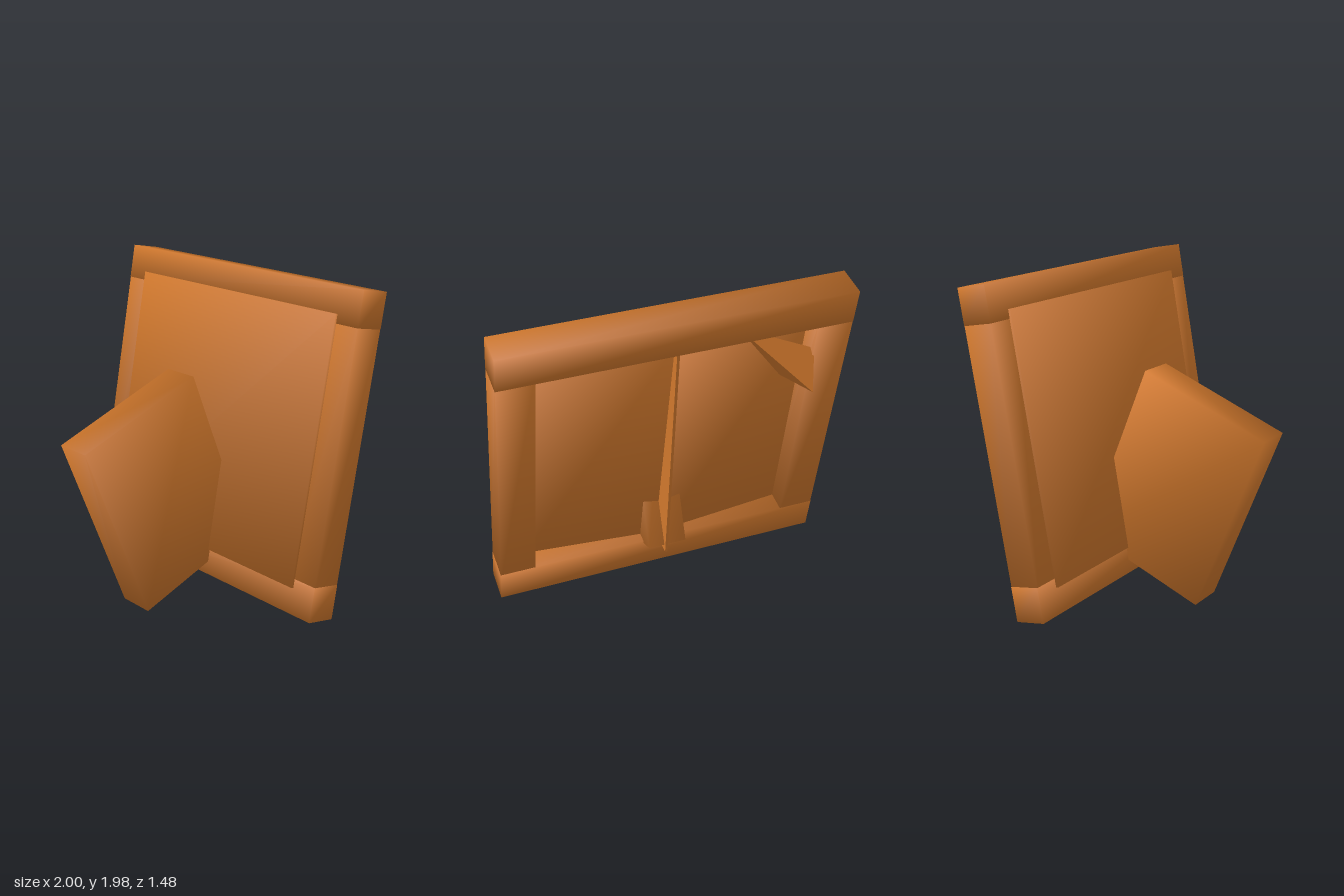
import * as THREE from 'three';
import { mergeVertices } from 'three/addons/utils/BufferGeometryUtils.js';
import { ConvexGeometry } from 'three/addons/geometries/ConvexGeometry.js';

const wood = new THREE.MeshStandardMaterial({ color: 0xcf772c });
wood.name = 'orangeWood';
const { degToRad } = THREE.MathUtils;

// Box with shared corners and corner normals splayed evenly, for soft shading
function softBox(name, w, h, d, x, y, z) {
  let geo = new THREE.BoxGeometry(w, h, d);
  geo.deleteAttribute('normal');
  geo.deleteAttribute('uv');
  geo = mergeVertices(geo);
  const pos = geo.attributes.position;
  const normals = [];
  const n = new THREE.Vector3();
  for (let i = 0; i < pos.count; i++) {
    n.set(Math.sign(pos.getX(i)), Math.sign(pos.getY(i)), Math.sign(pos.getZ(i))).normalize();
    normals.push(n.x, n.y, n.z);
  }
  geo.setAttribute('normal', new THREE.Float32BufferAttribute(normals, 3));
  const mesh = new THREE.Mesh(geo, wood);
  mesh.name = name;
  mesh.position.set(x, y, z);
  return mesh;
}

export function createModel() {
  const model = new THREE.Group();
  model.name = 'leaningPanel';

  // Frame and panel, leaning back
  const frame = new THREE.Group();
  frame.name = 'frame';
  frame.position.set(0, 1.03, -0.405);
  frame.rotation.x = degToRad(-10);
  for (const s of [1, -1]) {
    const side = s > 0 ? 'left' : 'right';
    frame.add(softBox(s > 0 ? 'topRail' : 'bottomRail', 2, 0.208, 0.187, 0, s * 0.841, -0.002));
    frame.add(softBox(side + 'Post', 0.21, 1.62, 0.184, s * 0.894, 0.005, -0.002));
    // Back boards, angled so that they rise towards the middle
    const board = softBox(side + 'BackBoard', 0.86, 1.58, 0.06, s * 0.42, 0, 0.022);
    board.rotation.y = degToRad(-5 * s);
    frame.add(board);
  }
  frame.add(softBox('frontPanel', 1.68, 1.58, 0.05, 0, 0, 0.079));
  model.add(frame);

  // Thick slab standing out of the front, its lower corner poking through the back
  const slab = softBox('slab', 0.23, 1.16, 0.841, 0, 0.696, 0.135);
  slab.rotation.x = degToRad(21.9);
  model.add(slab);

  // Thin tapering fin along the middle of the back; the profile is drawn in (-z, y)
  const profile = new THREE.Shape([
    [0.485, 0.27], [0.615, 1.75], [0.52, 1.78], [0.26, 0.29],
  ].map(([z, y]) => new THREE.Vector2(z, y)));
  const finGeo = new THREE.ExtrudeGeometry(profile, { depth: 0.016, bevelEnabled: false });
  finGeo.rotateY(Math.PI / 2);
  const fin = new THREE.Mesh(finGeo, wood);
  fin.name = 'backFin';
  fin.position.x = 0.004;
  model.add(fin);

  // Pointed splinter in the upper corner of the back
  const splinter = new THREE.Mesh(new ConvexGeometry([
    new THREE.Vector3(-0.73, 1.41, -0.74),
    new THREE.Vector3(-0.33, 1.82, -0.6),
    new THREE.Vector3(-0.67, 1.36, -0.45),
    new THREE.Vector3(-0.815, 1.57, -0.56),
  ]), wood);
  splinter.name = 'backSplinter';
  model.add(splinter);

  return model;
}
